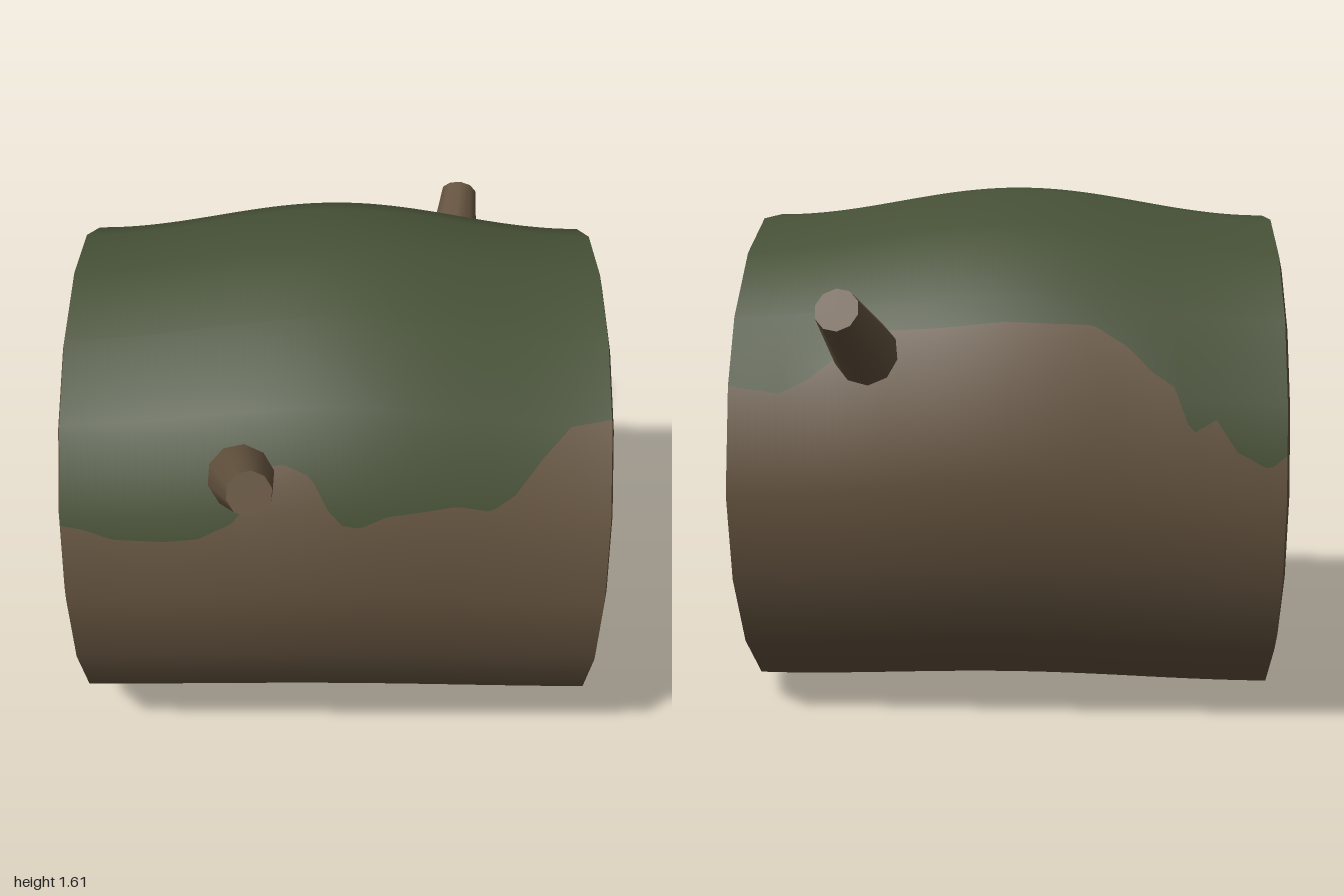
import * as THREE from 'three';

const SIDES = 18, STEP = (Math.PI * 2) / SIDES;
const HALF = 0.8, CZ = -0.035;

// Log swells and rises gently towards its middle
const bulge = x => Math.cos((Math.PI * x) / 1.6) ** 2;
const bulgeSlope = x => -Math.sin((2 * Math.PI * x) / 1.6) * (Math.PI / 1.6);
const radius = x => 0.77 + 0.035 * bulge(x);
const centreY = x => 0.77 + 0.055 * bulge(x);

// Moss edge: [x, height] along the front and the back of the log
const FRONT_EDGE = [[-0.8, 1.01], [-0.74, 1.0], [-0.65, 0.97], [-0.5, 0.97], [-0.4, 0.985], [-0.3, 1.04],
  [-0.25, 1.1], [-0.2, 1.2], [-0.15, 1.21], [-0.07, 1.18], [-0.02, 1.09], [0.02, 1.045], [0.07, 1.035],
  [0.15, 1.07], [0.25, 1.08], [0.35, 1.09], [0.45, 1.07], [0.52, 1.11], [0.6, 1.2], [0.68, 1.27], [0.8, 1.285]];
const BACK_EDGE = [[-0.8, 0.9], [-0.75, 0.86], [-0.66, 0.91], [-0.6, 1.0], [-0.53, 0.96], [-0.48, 1.09],
  [-0.42, 1.13], [-0.35, 1.2], [-0.25, 1.26], [0, 1.27], [0.2, 1.25], [0.35, 1.24], [0.48, 1.17],
  [0.57, 1.1], [0.65, 1.06], [0.8, 1.08]];

function heightAt(edge, x) {
  let i = 0;
  while (i < edge.length - 2 && x > edge[i + 1][0]) i++;
  const [[x0, y0], [x1, y1]] = [edge[i], edge[i + 1]];
  return THREE.MathUtils.lerp(y0, y1, (x - x0) / (x1 - x0));
}

// Angle around the log, from +z upwards, at which the moss edge lies
const edgeAngle = (edge, x) => Math.asin((heightAt(edge, x) - centreY(x)) / radius(x));
const frontAngle = x => edgeAngle(FRONT_EDGE, x);
const backAngle = x => Math.PI - edgeAngle(BACK_EDGE, x);

// Part of the log's faceted skin between two angles that vary along x
function skin(from, to, firstSide, lastSide) {
  const cols = 80, rows = lastSide - firstSide;
  const pos = [], nor = [], index = [];
  for (let i = 0; i <= cols; i++) {
    const x = -HALF + (2 * HALF * i) / cols;
    for (let j = 0; j <= rows; j++) {
      let a = THREE.MathUtils.clamp((firstSide + j) * STEP, from(x), to(x));
      if (j === 0) a = from(x);
      if (j === rows) a = to(x);
      const local = a - Math.floor(a / STEP) * STEP - STEP / 2;
      const r = (radius(x) * Math.cos(STEP / 2)) / Math.cos(local);
      const s = Math.sin(a), c = Math.cos(a);
      pos.push(x, centreY(x) + r * s, CZ + r * c);
      const n = new THREE.Vector3(-bulgeSlope(x) * (0.035 + 0.055 * s), s, c).normalize();
      nor.push(n.x, n.y, n.z);
      if (i < cols && j < rows) {
        const p = i * (rows + 1) + j, q = p + rows + 1;
        index.push(p, q, p + 1, q, q + 1, p + 1);
      }
    }
  }
  const g = new THREE.BufferGeometry();
  g.setAttribute('position', new THREE.Float32BufferAttribute(pos, 3));
  g.setAttribute('normal', new THREE.Float32BufferAttribute(nor, 3));
  g.setIndex(index);
  return g;
}

export function createModel() {
  const model = new THREE.Group();
  model.name = 'mossyLog';
  const material = (name, color) => Object.assign(new THREE.MeshStandardMaterial({ color }), { name });
  const bark = material('bark', 0x64533f);
  const moss = material('moss', 0x465036);
  const wood = material('cutWood', 0x66573f);

  const add = (name, geometry, mat, parent = model) => {
    const mesh = new THREE.Mesh(geometry, mat);
    mesh.name = name;
    parent.add(mesh);
    return mesh;
  };

  // Trunk: moss over the top, bark around the rest
  add('mossCover', skin(frontAngle, backAngle, -1, 10), moss);
  add('barkBody', skin(backAngle, x => frontAngle(x) + Math.PI * 2, 8, 21), bark);

  // Bevelled, cut ends
  for (const side of [1, -1]) {
    const end = new THREE.Group();
    end.name = side > 0 ? 'leftEnd' : 'rightEnd';
    end.position.set(side * HALF, centreY(HALF), CZ);
    end.rotation.z = (-side * Math.PI) / 2;
    model.add(end);
    const rim = new THREE.CylinderGeometry(0.715, 0.77, 0.013, SIDES, 1, true);
    add('rim', rim.translate(0, 0.0065, 0), bark, end);
    const cut = new THREE.CircleGeometry(0.715, SIDES, Math.PI / 2).rotateX(-Math.PI / 2);
    add('cutFace', cut.translate(0, 0.013, 0), wood, end);
  }

  // Branch stubs: tapered pegs from inside the trunk to a flat tip
  const stub = (name, base, tip) => {
    const a = new THREE.Vector3(...base), b = new THREE.Vector3(...tip);
    const dir = b.clone().sub(a);
    const mesh = add(name, new THREE.CylinderGeometry(0.063, 0.102, dir.length(), 10), bark);
    mesh.position.copy(a).add(b).multiplyScalar(0.5);
    mesh.quaternion.setFromUnitVectors(new THREE.Vector3(0, 1, 0), dir.normalize());
  };
  stub('frontBranch', [-0.275, 1.14, 0.62], [-0.225, 1.32, 0.97]);
  stub('backBranch', [0.395, 1.14, -0.64], [0.44, 1.325, -0.97]);

  return model;
}
